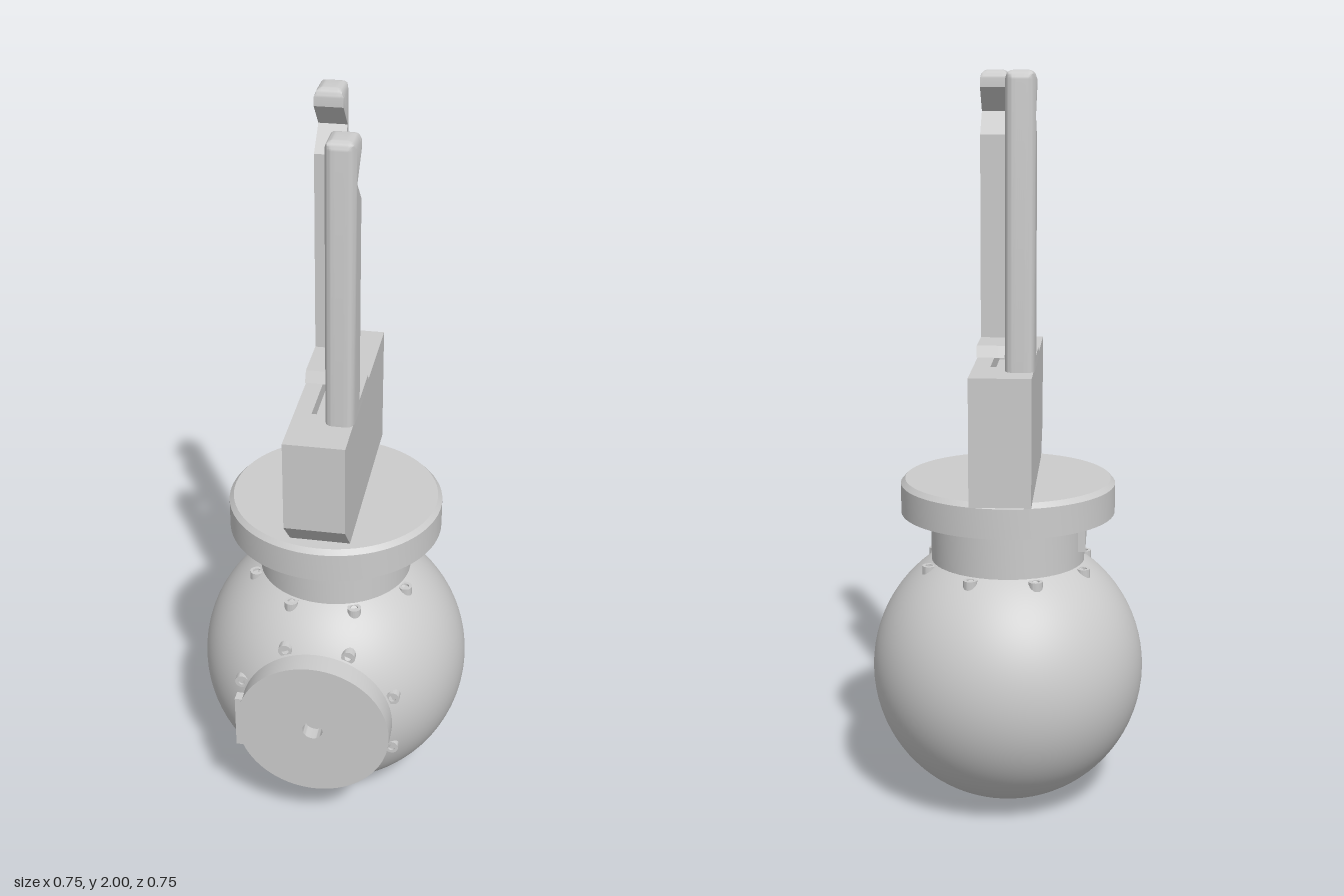
import * as THREE from 'three';
import { toCreasedNormals } from 'three/addons/utils/BufferGeometryUtils.js';

const material = new THREE.MeshStandardMaterial({ color: 0xcccccc });

function add(parent, name, geometry, x = 0, y = 0, z = 0) {
  const mesh = new THREE.Mesh(geometry, material);
  mesh.name = name;
  mesh.position.set(x, y, z);
  parent.add(mesh);
  return mesh;
}

// Turned part from [radius, height] pairs listed bottom to top
function turned(points, segments = 72) {
  const profile = points.map(([r, h]) => new THREE.Vector2(r, h));
  return toCreasedNormals(new THREE.LatheGeometry(profile, segments), 0.5);
}

// Extrude a (z, y) outline along x, centred on x = 0
function sideExtrude(outline, width, steps = 1) {
  const shape = new THREE.Shape(outline.map(([z, y]) => new THREE.Vector2(-z, y)));
  const geometry = new THREE.ExtrudeGeometry(shape, { depth: width, steps, bevelEnabled: false });
  return geometry.translate(0, 0, -width / 2).rotateY(Math.PI / 2);
}

// Mounting port along +y of the ball: turned cap, locating tab and ring of screws
function createPort(name, profile, tabBottom, tabTop) {
  const port = new THREE.Group();
  port.name = name;
  add(port, name + 'Cap', turned(profile));
  add(port, name + 'Tab', new THREE.BoxGeometry(0.03, tabTop - tabBottom, 0.16),
    -0.2, (tabBottom + tabTop) / 2, 0);
  const head = turned([[0.019, 0.27], [0.019, 0.308], [0.01, 0.308], [0.01, 0.302], [0, 0.302]], 20);
  for (let i = 0; i < 8; i++) {
    const a = (i + 0.5) * Math.PI / 4;
    add(port, name + 'Screw', head, 0.227 * Math.cos(a), 0, 0.227 * Math.sin(a));
  }
  return port;
}

// Finger with sliding foot, V notch near the tip and rounded outer edges
function createFingerGeometry() {
  const width = 0.076, outer = 0.217, top = 2, r = 0.022;
  const outline = [[outer, 1.25], [outer, top - r]];
  for (let i = 1; i <= 6; i++) {
    const a = i / 6 * Math.PI / 2;
    outline.push([outer - r + r * Math.cos(a), top - r + r * Math.sin(a)]);
  }
  for (let i = 0; i <= 6; i++) {
    const a = Math.PI / 2 * (1 + i / 6);
    outline.push([0.122 + r + r * Math.cos(a), top - r + r * Math.sin(a)]);
  }
  outline.push([0.122, 1.955], [0.185, 1.89], [0.122, 1.83],
    [0.122, 1.28], [-0.015, 1.28], [-0.03, 1.25]);
  const geometry = sideExtrude(outline, width, 16);
  // Round the outer and top edges across the width
  const p = geometry.attributes.position;
  for (let i = 0; i < p.count; i++) {
    const d = Math.max(0, Math.abs(p.getX(i)) - (width / 2 - r));
    const inset = r - Math.sqrt(Math.max(0, r * r - d * d));
    p.setZ(i, Math.min(p.getZ(i), outer - inset));
    p.setY(i, Math.min(p.getY(i), top - inset));
  }
  return toCreasedNormals(geometry, 0.6);
}

export function createModel() {
  const model = new THREE.Group();
  model.name = 'ballJointGripper';

  // Ball housing, left open beneath the front port
  const ballY = 0.376;
  const ball = new THREE.SphereGeometry(0.376, 80, 56, 0, Math.PI * 2, 0.55, Math.PI - 0.55);
  add(model, 'ball', ball.rotateX(Math.PI / 2), 0, ballY, 0);

  // Front port: disc with a shallow centre hole
  const front = createPort('frontPort', [
    [0.211, 0.295], [0.211, 0.375], [0.028, 0.375], [0.028, 0.335], [0, 0.335],
  ], 0.345, 0.374);
  front.position.y = ballY;
  front.rotation.x = Math.PI / 2;
  model.add(front);

  // Top port: neck that carries the flange
  const upper = createPort('topPort', [
    [0.211, 0.295], [0.211, 0.435], [0.15, 0.435], [0.15, 0.45],
  ], 0.352, 0.433);
  upper.position.y = ballY;
  model.add(upper);

  // Tool flange
  add(model, 'flange', turned([
    [0, 0.822], [0.293, 0.822], [0.293, 0.903], [0.281, 0.916], [0, 0.916],
  ]));

  // Gripper body with chamfered lower front edge
  add(model, 'gripperBody', sideExtrude([
    [-0.325, 0.915], [0.243, 0.915], [0.325, 1.0], [0.325, 1.21], [-0.325, 1.21],
  ], 0.16));

  // Body top plate with the guide slot
  const plate = new THREE.Shape([[-0.08, -0.325], [0.08, -0.325], [0.08, 0.325], [-0.08, 0.325]]
    .map(([x, y]) => new THREE.Vector2(x, y)));
  plate.holes.push(new THREE.Path([[-0.035, -0.163], [-0.035, 0.163], [0.035, 0.163], [0.035, -0.163]]
    .map(([x, y]) => new THREE.Vector2(x, y))));
  const plateGeometry = new THREE.ExtrudeGeometry(plate, { depth: 0.04, bevelEnabled: false });
  add(model, 'guidePlate', plateGeometry.rotateX(-Math.PI / 2), 0, 1.21, 0);

  // Pair of opposed fingers
  const finger = createFingerGeometry();
  add(model, 'frontFinger', finger, 0.045, 0, 0);
  add(model, 'backFinger', finger, -0.045, 0, -0.027).rotation.y = Math.PI;

  return model;
}
